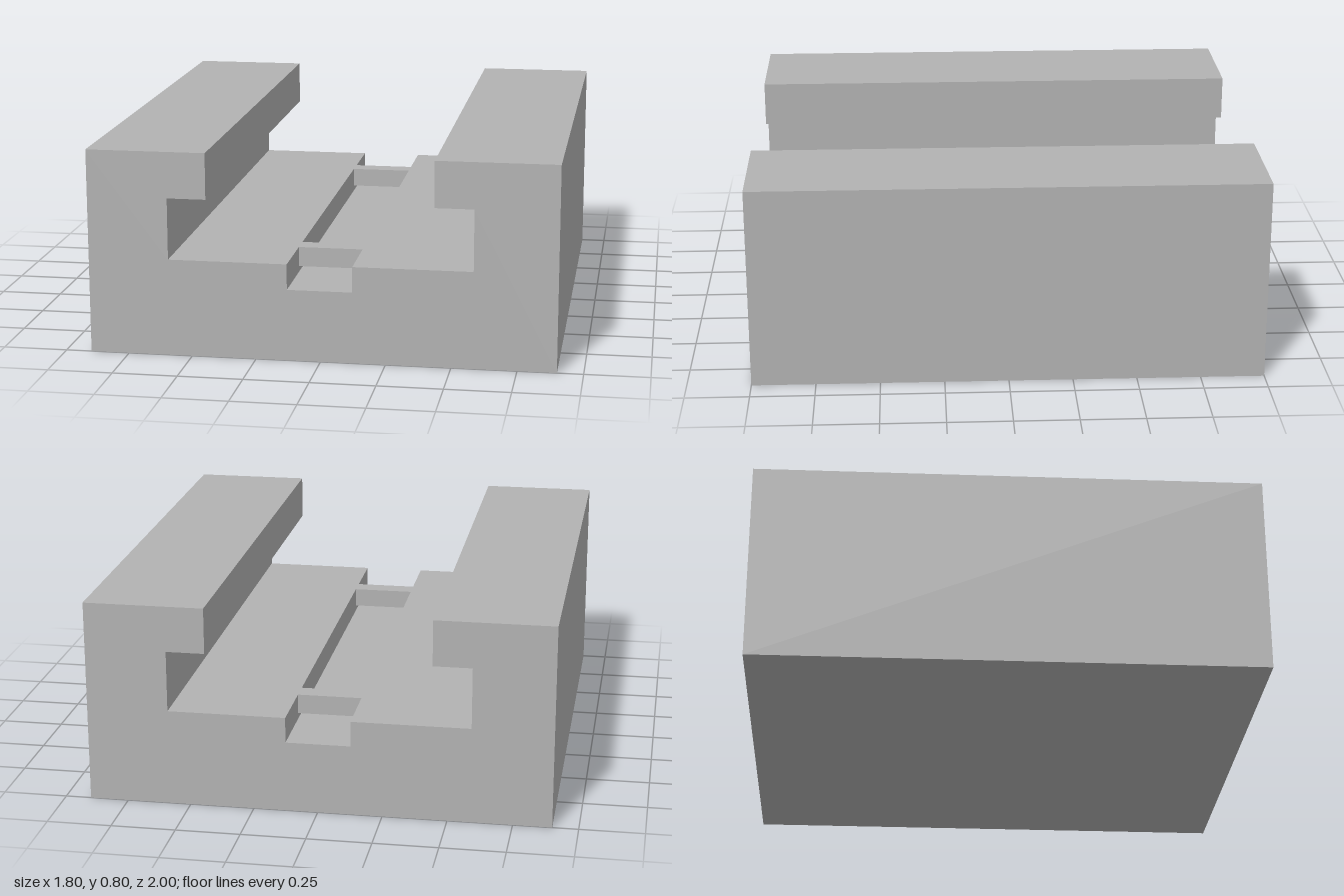
import * as THREE from 'three';

export function createModel() {
  const model = new THREE.Group();
  model.name = 'slottedRail';
  const grey = new THREE.MeshStandardMaterial({ color: 0xb2b2b2 });
  grey.name = 'light grey';

  // Rail: T-slot cross-section with a narrow groove in its floor
  const section = new THREE.Shape([
    [-0.9, 0], [0.9, 0], [0.9, 0.8], [0.432, 0.8], [0.432, 0.62], [0.582, 0.62],
    [0.582, 0.38], [0.123, 0.38], [0.123, 0.28], [-0.128, 0.28], [-0.128, 0.38],
    [-0.588, 0.38], [-0.588, 0.62], [-0.438, 0.62], [-0.438, 0.8], [-0.9, 0.8],
  ].map(([x, y]) => new THREE.Vector2(x, y)));
  const railGeometry = new THREE.ExtrudeGeometry(section, { depth: 2, bevelEnabled: false });
  railGeometry.translate(0, 0, -1);
  const rail = new THREE.Mesh(railGeometry, grey);
  rail.name = 'rail';
  model.add(rail);

  // Bridges: thin bars across the groove, open underneath
  const bridgeGeometry = new THREE.BoxGeometry(0.251, 0.077, 0.08);
  for (const [name, z] of [['frontBridge', 0.7], ['backBridge', -0.7]]) {
    const bridge = new THREE.Mesh(bridgeGeometry, grey);
    bridge.name = name;
    bridge.position.set(-0.0025, 0.3415, z);
    model.add(bridge);
  }
  return model;
}
